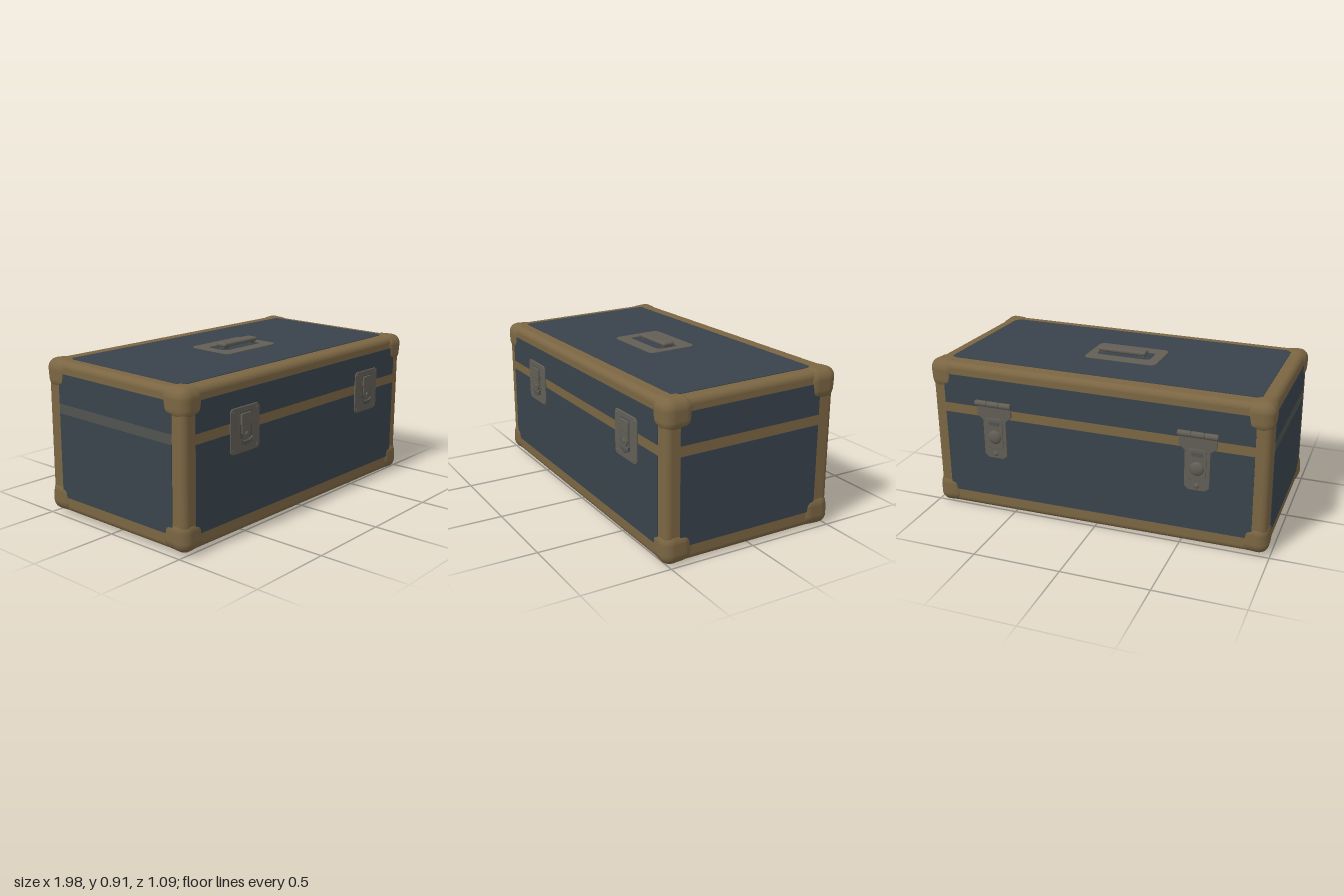
import * as THREE from 'three';
import { RoundedBoxGeometry } from 'three/addons/geometries/RoundedBoxGeometry.js';

const paint = (name, hex) => {
  const m = new THREE.MeshStandardMaterial({ color: hex });
  m.name = name;
  return m;
};

// Rounded rectangle outline between two corners
function roundedRect(x0, y0, x1, y1, r, target = new THREE.Shape()) {
  target.moveTo(x0 + r, y0);
  target.lineTo(x1 - r, y0).absarc(x1 - r, y0 + r, r, -Math.PI / 2, 0, false);
  target.lineTo(x1, y1 - r).absarc(x1 - r, y1 - r, r, 0, Math.PI / 2, false);
  target.lineTo(x0 + r, y1).absarc(x0 + r, y1 - r, r, Math.PI / 2, Math.PI, false);
  target.lineTo(x0, y0 + r).absarc(x0 + r, y0 + r, r, Math.PI, Math.PI * 1.5, false);
  return target;
}

const polygon = (points) => new THREE.Shape(points.map(([x, y]) => new THREE.Vector2(x, y)));

// Thin plate with a small bevel, its back on z = 0
function plate(shape, depth, bevel = 0.003) {
  return new THREE.ExtrudeGeometry(shape, {
    depth: depth - bevel, bevelEnabled: true, bevelThickness: bevel,
    bevelSize: bevel, bevelOffset: -bevel, bevelSegments: 2, curveSegments: 6,
  });
}

// Box given by its limits on each axis
function block(x0, x1, y0, y1, z0, z1) {
  return new THREE.BoxGeometry(x1 - x0, y1 - y0, z1 - z0)
    .translate((x0 + x1) / 2, (y0 + y1) / 2, (z0 + z1) / 2);
}

// Corner cap: rounded block that thins away from the outer corner
function cornerCap(sx, sy, sz) {
  const size = [0.175, 0.185, 0.192], s = [sx, sy, sz];
  const centre = [sx * 0.91, sy > 0 ? 0.8 : 0.107, sz > 0 ? 0.441 : -0.434];
  const g = new RoundedBoxGeometry(...size, 5, 0.066);
  const p = g.attributes.position;
  for (let i = 0; i < p.count; i++) {
    const v = [p.getX(i), p.getY(i), p.getZ(i)];
    const u = v.map((c, k) => (c * s[k] * 2) / size[k]);
    const out = v.map((c, k) => {
      const inward = (2 - u[(k + 1) % 3] - u[(k + 2) % 3]) / 2;
      return centre[k] + c - (u[k] > 0 ? s[k] * 0.009 * inward * u[k] : 0);
    });
    p.setXYZ(i, ...out);
  }
  return g;
}

// Slight hand-made lean: lid rises to the back, base dips to the side
function lean(g) {
  const p = g.attributes.position;
  for (let i = 0; i < p.count; i++) {
    const x = p.getX(i), y = p.getY(i), z = p.getZ(i), t = y / 0.88;
    p.setX(i, x + 0.01 * y * (x < -0.8 ? 1 : 0));
    p.setY(i, y + (1 - t) * -0.008 * x + t * (0.0065 * x - 0.022 * z + 0.004));
  }
  return g;
}

export function createModel() {
  const trim = paint('brown trim', 0x7b6643);
  const navy = paint('slate panel', 0x39434c);
  const metal = paint('dull metal', 0x625e56);
  const steel = paint('dark steel', 0x50534f);

  const root = new THREE.Group();
  root.name = 'trunk';
  const section = (name) => {
    const g = new THREE.Group();
    g.name = name;
    root.add(g);
    return g;
  };
  const add = (parent, name, geometry, material) => {
    const m = new THREE.Mesh(lean(geometry), material);
    m.name = name;
    parent.add(m);
  };

  // Trimmed body; rails, posts and band show between the panels
  const body = section('body');
  add(body, 'trimFrame', new RoundedBoxGeometry(1.955, 0.852, 1.03, 4, 0.036)
    .translate(-0.002, 0.452, 0.003), trim);
  const panels = section('panels');
  for (const [part, y0, y1] of [['lower', 0.112, 0.59], ['upper', 0.645, 0.812]]) {
    add(panels, part + 'FrontPanel', block(-0.9, 0.9, y0, y1, 0.514, 0.521), navy);
    add(panels, part + 'BackPanel', block(-0.9, 0.9, y0, y1, -0.515, -0.508), navy);
    add(panels, part + 'LeftPanel', block(0.972, 0.9785, y0, y1, -0.415, 0.437), navy);
    add(panels, part + 'RightPanel', block(-0.9825, -0.976, y0, y1, -0.415, 0.437), navy);
  }
  add(panels, 'rightBand', block(-0.982, -0.976, 0.59, 0.645, -0.415, 0.437), steel);
  add(panels, 'topPanel', block(-0.9, 0.9, 0.875, 0.881, -0.412, 0.432), navy);
  add(panels, 'bottomPanel', block(-0.9, 0.9, 0.023, 0.029, -0.425, 0.435), navy);

  // Eight corner caps
  const corners = section('cornerCaps');
  for (const sx of [-1, 1]) for (const sy of [-1, 1]) for (const sz of [-1, 1])
    add(corners, 'cornerCap', cornerCap(sx, sy, sz), trim);

  // Front latches: back plate, strap, tapered tongue, turn key
  for (const x of [-0.53, 0.59]) {
    const latch = section('latch');
    const put = (name, g, z, mat = metal) => add(latch, name, g.translate(x, 0, z), mat);
    put('latchPlate', plate(roundedRect(-0.115, 0.47, 0.115, 0.72, 0.026), 0.01, 0.004), 0.517);
    put('latchRecess', plate(roundedRect(-0.05, 0.55, 0.05, 0.695, 0.012), 0.0025, 0.001), 0.526, steel);
    put('latchStrap', plate(roundedRect(-0.04, 0.62, 0.04, 0.685, 0.008), 0.011), 0.526);
    put('latchTongue', plate(polygon([[-0.034, 0.625], [-0.034, 0.575], [-0.014, 0.545],
      [0.014, 0.545], [0.034, 0.575], [0.034, 0.625]]), 0.009), 0.526);
    put('latchHook', plate(polygon([[-0.05, 0.55], [-0.04, 0.522], [0, 0.508], [0.04, 0.522],
      [0.05, 0.55], [0.025, 0.535], [-0.025, 0.535]]), 0.011), 0.526, steel);
    put('latchKey', new THREE.SphereGeometry(0.013, 12, 8).scale(1, 1, 0.7).translate(0, 0.572, 0), 0.533);
    for (const sx of [-1, 1]) for (const y of [0.492, 0.698])
      put('rivet', new THREE.SphereGeometry(0.008, 8, 6).scale(1, 1, 0.5).translate(sx * 0.092, y, 0), 0.526);
  }

  // Back hinges: knuckled barrel, leaf and domed stud
  for (const x of [-0.592, 0.592]) {
    const hinge = section('hinge');
    const put = (name, g, z, mat = metal) =>
      add(hinge, name, g.rotateY(Math.PI).translate(x, 0, z), mat);
    put('hingeLeaf', plate(polygon([[-0.105, 0.675], [-0.105, 0.605], [-0.07, 0.575], [-0.07, 0.37],
      [-0.045, 0.35], [0.045, 0.35], [0.07, 0.37], [0.07, 0.575], [0.105, 0.605], [0.105, 0.675]]),
    0.011), -0.511);
    put('hingeRaisedPlate', plate(roundedRect(-0.05, 0.41, 0.05, 0.59, 0.02), 0.006, 0.002), -0.521);
    put('hingeSlot', plate(roundedRect(-0.032, 0.55, 0.032, 0.572, 0.008), 0.005, 0.001), -0.525, steel);
    put('hingeStud', new THREE.SphereGeometry(0.04, 20, 12).scale(1, 1, 0.4).translate(0, 0.48, 0), -0.526);
    put('hingeButton', new THREE.SphereGeometry(0.015, 12, 8).scale(1, 1, 0.6).translate(0, 0.378, 0), -0.521);
    for (const k of [-1, 0, 1])
      put('hingeKnuckle', new THREE.CylinderGeometry(0.017, 0.017, 0.069, 14)
        .rotateZ(Math.PI / 2).translate(k * 0.073, 0.672, 0), -0.526);
    put('hingePin', new THREE.CylinderGeometry(0.012, 0.012, 0.222, 12)
      .rotateZ(Math.PI / 2).translate(0, 0.672, 0), -0.526, steel);
  }

  // Lid handle: framed plate and low grip
  const handle = section('handle');
  const rim = roundedRect(-0.23, -0.145, 0.2, 0.145, 0.035);
  rim.holes.push(roundedRect(-0.17, -0.07, 0.15, 0.065, 0.025, new THREE.Path()));
  add(handle, 'handlePlate', plate(rim, 0.009).rotateX(-Math.PI / 2).translate(0, 0.877, 0), metal);
  add(handle, 'handleGrip', new RoundedBoxGeometry(0.29, 0.026, 0.07, 4, 0.012)
    .translate(0.01, 0.903, 0), metal);
  for (const x of [-0.105, 0.125])
    add(handle, 'handlePost', block(x - 0.018, x + 0.018, 0.878, 0.9, -0.022, 0.022), steel);

  return root;
}
